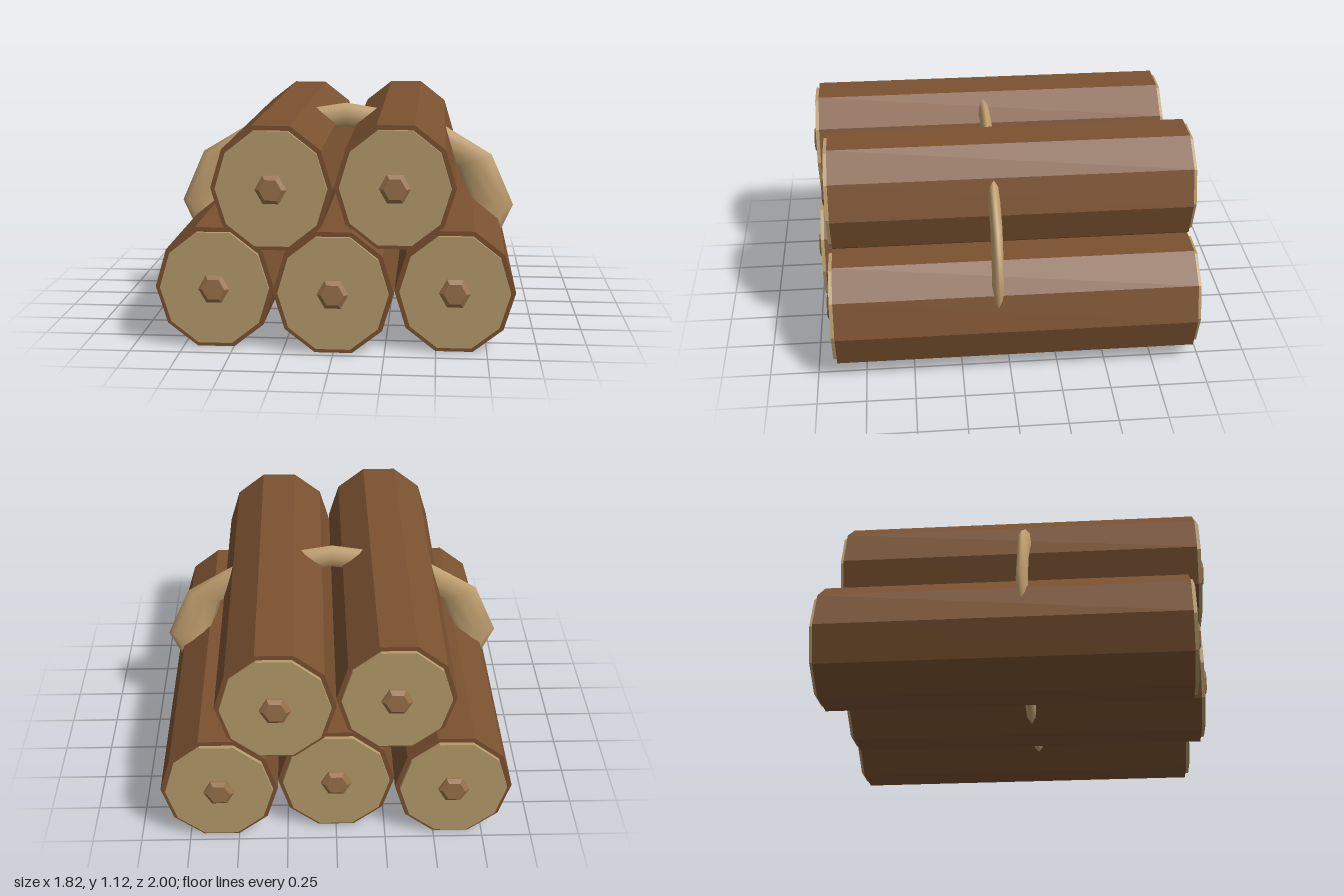
import * as THREE from 'three';

const bark = new THREE.MeshStandardMaterial({ color: 0x7b5230 });
bark.name = 'bark brown';
const wood = new THREE.MeshStandardMaterial({ color: 0xb69b6c });
wood.name = 'cut wood';
const core = new THREE.MeshStandardMaterial({ color: 0x9a724a });
core.name = 'heartwood brown';
const twine = new THREE.MeshStandardMaterial({ color: 0xc6a473 });
twine.name = 'rope tan';

// Faceted prism along z, with corners on the x axis; front is its +z end
function prism(frontR, backR, length, sides, stretchY = 1) {
  const g = new THREE.CylinderGeometry(frontR, backR, length, sides)
    .rotateY(Math.PI / 2)
    .rotateX(Math.PI / 2)
    .scale(1, stretchY, 1)
    .toNonIndexed();
  g.computeVertexNormals();
  return g;
}

function part(name, geometry, material, z = 0) {
  const mesh = new THREE.Mesh(geometry, material);
  mesh.name = name;
  mesh.position.z = z;
  return mesh;
}

const HALF = 0.925;
const barkGeo = prism(0.295, 0.295, HALF * 2, 10, 1.08);
const capGeo = prism(0.27, 0.27, 0.02, 10, 1.09);
const coreBaseGeo = prism(0.077, 0.077, 0.01, 6, 1.04);
const coreTipGeo = prism(0.055, 0.077, 0.015, 6, 1.04);

function makeLog(name) {
  const log = new THREE.Group();
  log.name = name;
  log.add(part('bark', barkGeo, bark));
  // Cut face and raised core at both ends
  for (const turn of [0, Math.PI]) {
    const end = new THREE.Group();
    end.name = turn ? 'backEnd' : 'frontEnd';
    end.rotation.y = turn;
    end.add(
      part('cutFace', capGeo, wood, HALF + 0.01),
      part('coreBase', coreBaseGeo, core, HALF + 0.025),
      part('coreTip', coreTipGeo, core, HALF + 0.0375)
    );
    log.add(end);
  }
  return log;
}

export function createModel() {
  const model = new THREE.Group();
  model.name = 'logBundle';

  // Three logs below, two on top, staggered lengthwise
  const logs = [
    ['lowerRightLog', -0.59, 0.308, -0.03],
    ['lowerMiddleLog', 0, 0.308, 0.03],
    ['lowerLeftLog', 0.59, 0.308, -0.03],
    ['upperRightLog', -0.295, 0.82, 0.03],
    ['upperLeftLog', 0.295, 0.82, -0.03],
  ];
  for (const [name, x, y, z] of logs) {
    const log = makeLog(name);
    log.position.set(x, y, z);
    model.add(log);
  }

  // Flattened rope loop round the bundle
  const ropeGeo = new THREE.TorusGeometry(0.802, 0.108, 8, 12).scale(1, 0.604, 0.28);
  const rope = part('rope', ropeGeo, twine, 0.065);
  rope.position.y = 0.57;
  model.add(rope);

  return model;
}
